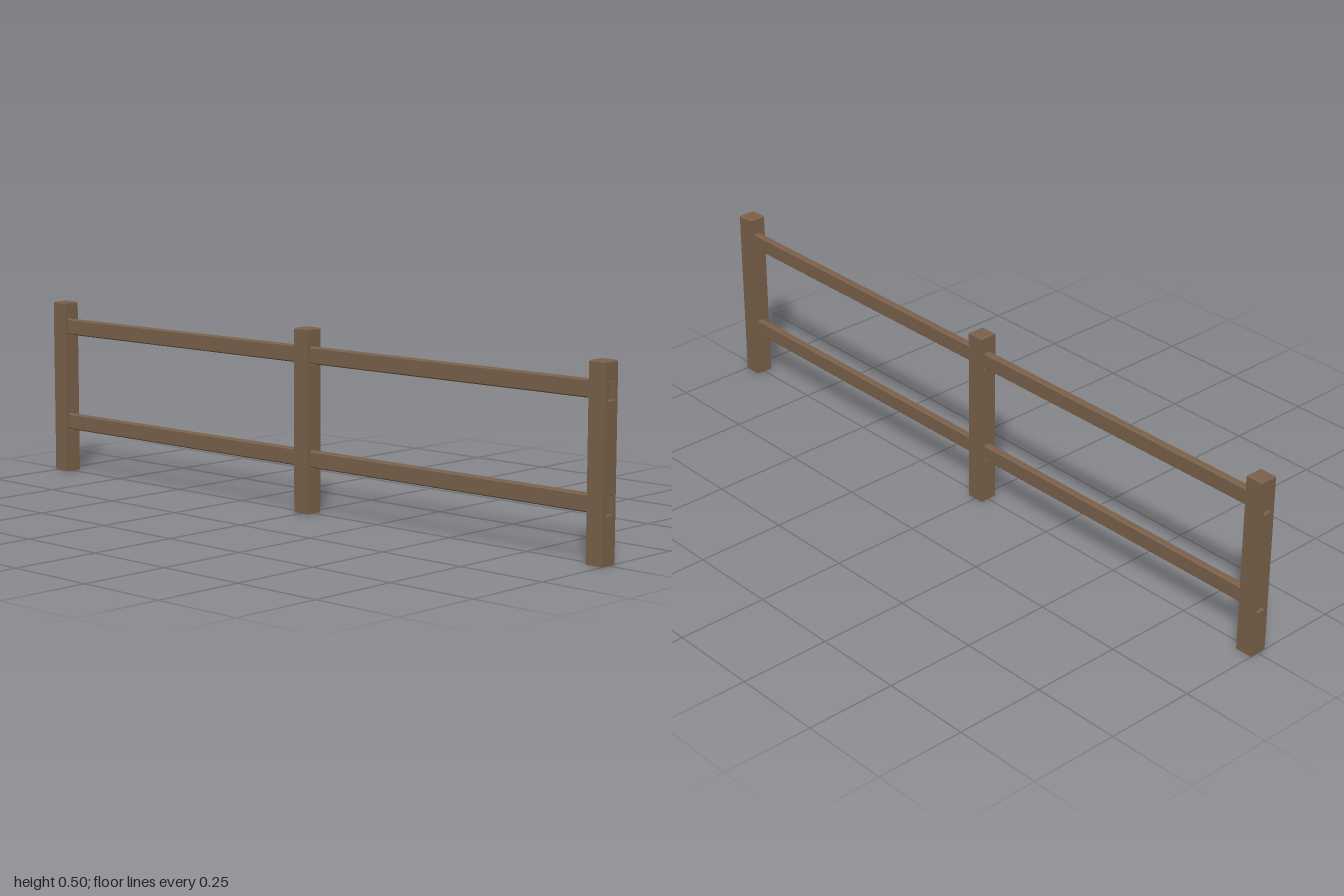
import * as THREE from 'three';

const POST = { half: 0.0245, height: 0.495, bevel: 0.003 };
const RAIL_HEIGHTS = [0.146, 0.4235];

// Rectangle with cut corners, centred on (x, y)
function cutRect(Type, x, y, hw, hh, c) {
  const corners = [
    [-hw + c, -hh], [hw - c, -hh], [hw, -hh + c], [hw, hh - c],
    [hw - c, hh], [-hw + c, hh], [-hw, hh - c], [-hw, -hh + c],
  ];
  return new Type(corners.map(([a, b]) => new THREE.Vector2(x + a, y + b)));
}

// Extrude a profile drawn in (z, y) along x, centred on x = 0
function extrudeAlongX(shape, length) {
  const g = new THREE.ExtrudeGeometry(shape, { depth: length, bevelEnabled: false });
  return g.translate(0, 0, -length / 2).rotateY(Math.PI / 2);
}

// Drop the triangles lying on the ground, leaving the post open underneath
function openBottom(geometry) {
  const p = geometry.attributes.position;
  const kept = [];
  for (let i = 0; i < p.count; i += 3) {
    if ([0, 1, 2].every((k) => Math.abs(p.getY(i + k)) < 1e-6)) continue;
    for (let k = 0; k < 3; k++) kept.push(p.getX(i + k), p.getY(i + k), p.getZ(i + k));
  }
  const g = new THREE.BufferGeometry();
  g.setAttribute('position', new THREE.Float32BufferAttribute(kept, 3));
  g.computeVertexNormals();
  return g;
}

export function createModel() {
  const model = new THREE.Group();
  model.name = 'fence';
  const wood = new THREE.MeshStandardMaterial({ color: 0x7a614b, side: THREE.DoubleSide });
  wood.name = 'brown wood';

  // Post body with a mortise slot for each rail
  const { half, height, bevel } = POST;
  const bodyTop = height - bevel;
  const profile = new THREE.Shape();
  profile.moveTo(-half, 0).lineTo(half, 0).lineTo(half, bodyTop).lineTo(-half, bodyTop).closePath();
  for (const y of RAIL_HEIGHTS) {
    profile.holes.push(cutRect(THREE.Path, 0, y, 0.0127, 0.0255, 0.002));
  }
  const bodyGeometry = openBottom(extrudeAlongX(profile, half * 2));

  // Chamfered post top
  const capGeometry = new THREE.CylinderGeometry(
    (half - bevel) * Math.SQRT2, half * Math.SQRT2, bevel, 4
  ).toNonIndexed();
  capGeometry.computeVertexNormals();
  capGeometry.rotateY(Math.PI / 4).translate(0, height - bevel / 2, 0);

  const names = ['rightPost', 'middlePost', 'leftPost'];
  names.forEach((name, i) => {
    const post = new THREE.Group();
    post.name = name;
    post.position.x = (i - 1) * (1 - half);
    const body = new THREE.Mesh(bodyGeometry, wood);
    body.name = 'postBody';
    const cap = new THREE.Mesh(capGeometry, wood);
    cap.name = 'postTop';
    post.add(body, cap);
    model.add(post);
  });

  // Rails run through the slots and stop just inside the end posts
  const railGeometry = extrudeAlongX(cutRect(THREE.Shape, 0, 0, 0.0103, 0.0225, 0.003), 1.984);
  RAIL_HEIGHTS.forEach((y, i) => {
    const rail = new THREE.Mesh(railGeometry, wood);
    rail.name = ['lowerRail', 'upperRail'][i];
    rail.position.y = y;
    model.add(rail);
  });

  return model;
}
